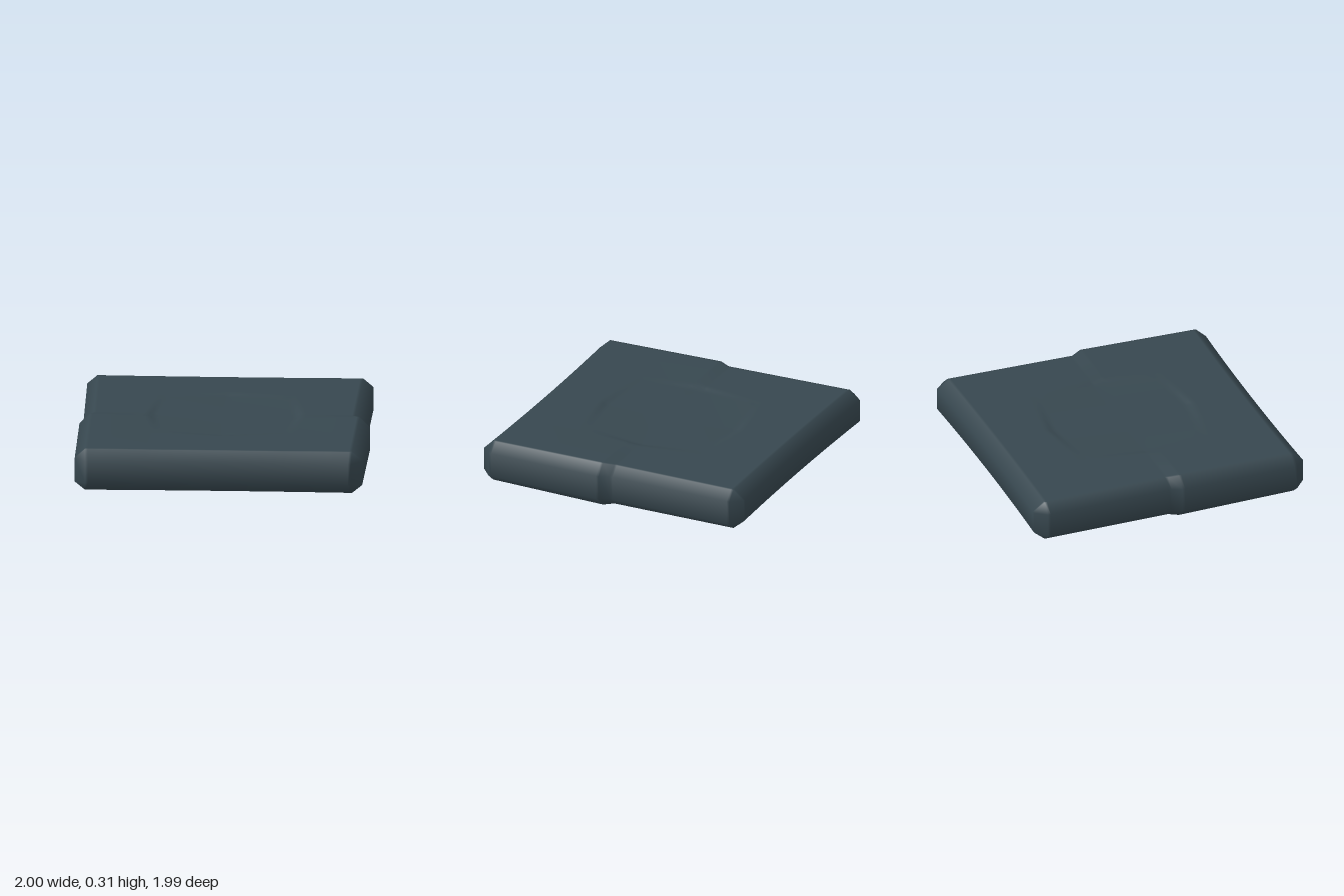
import * as THREE from 'three';
import { mergeVertices } from 'three/addons/utils/BufferGeometryUtils.js';

const { lerp, clamp } = THREE.MathUtils;
const N = 92; // divisions across the width

// Linear interpolation through [position, value] pairs
function along(points, t) {
  for (let i = 1; i < points.length; i++) {
    const [t0, v0] = points[i - 1], [t1, v1] = points[i];
    if (t <= t1) return lerp(v0, v1, clamp((t - t0) / (t1 - t0), 0, 1));
  }
  return points[points.length - 1][1];
}

// Outline of the slab along z: narrower rear half, small step just ahead of the middle
const leftEdge = [[-0.92, 0.98], [0, 0.965], [0.07, 1], [0.92, 0.985]];
const rightEdge = [[-0.92, -0.99], [0, -0.975], [0.07, -1], [0.92, -0.995]];
const underside = [[-0.92, 0.014], [0, 0.008], [0.07, 0], [0.92, 0.012]];
const shoulder = [[-0.92, 0], [0, -0.002], [0.07, 0.011], [0.92, 0.003]];

// Top surface: raised shoulders at the sides and a shallow eight-sided recess
function topHeight(x, z) {
  const ax = Math.abs(x), az = Math.abs(z);
  const side = clamp((ax - 0.48) / 0.3, 0, 1);
  const reach = Math.max(ax + 0.13 * az, az + 0.13 * ax);
  const wall = clamp((0.535 - reach) / 0.045, 0, 1);
  const depth = 0.015 * Math.max(0.15, 1 - ax * az / 0.2);
  return 0.3 + side * along(shoulder, z) - wall * depth;
}

// One closed cross-section, counter-clockwise seen from the front
function section(z) {
  const end = Math.abs(z) > 0.95;
  const xl = end ? 0.91 : along(leftEdge, z);
  const xr = end ? -0.92 : along(rightEdge, z);
  const bevel = end ? 0 : 0.07;
  const high = end ? 0.235 : 0.24, low = end ? 0.08 : 0.07;
  const loop = [];
  const add = (x, y) => {
    const bow = 0.018 * (1 - x * x) * z ** 5; // ends curve slightly inward
    loop.push([x, y, z - bow]);
  };
  for (let i = 0; i <= N; i++) {
    const x = lerp(xl - bevel, xr + bevel, i / N);
    add(x, end ? high : topHeight(x, z));
  }
  add(xr, high);
  add(xr, low);
  for (let i = N; i >= 0; i--) {
    add(lerp(xl - bevel, xr + bevel, i / N), end ? low : along(underside, z));
  }
  add(xl, low);
  add(xl, high);
  return loop;
}

function slabGeometry() {
  const stations = [-1];
  for (let i = 0; i <= 46; i++) stations.push(-0.92 + 0.02 * i);
  for (let i = 0; i <= 42; i++) stations.push(lerp(0.07, 0.92, i / 42));
  stations.push(0.995);

  const loops = stations.map(section);
  const count = loops[0].length, index = [];
  const quad = (a, b, c, d) => index.push(a, b, c, a, c, d);

  // Skin between neighbouring sections
  for (let k = 0; k < loops.length - 1; k++) {
    for (let j = 0; j < count; j++) {
      const n = (j + 1) % count, a = k * count, b = a + count;
      quad(a + j, a + n, b + n, b + j);
    }
  }
  // Front and back faces
  const last = (loops.length - 1) * count;
  for (let i = 0; i < N; i++) {
    const under = 2 * N + 3 - i;
    quad(last + i, last + i + 1, last + under - 1, last + under);
    quad(i, under, under - 1, i + 1);
  }

  const geometry = new THREE.BufferGeometry();
  geometry.setAttribute('position', new THREE.Float32BufferAttribute(loops.flat(2), 3));
  geometry.setIndex(index);
  const merged = mergeVertices(geometry, 1e-5);
  merged.computeVertexNormals();
  return merged;
}

export function createModel() {
  const slate = new THREE.MeshStandardMaterial({ color: 0x37474f });
  slate.name = 'slate';

  const slab = new THREE.Mesh(slabGeometry(), slate);
  slab.name = 'slab';

  const model = new THREE.Group();
  model.name = 'bevelledSlab';
  model.add(slab);
  return model;
}
